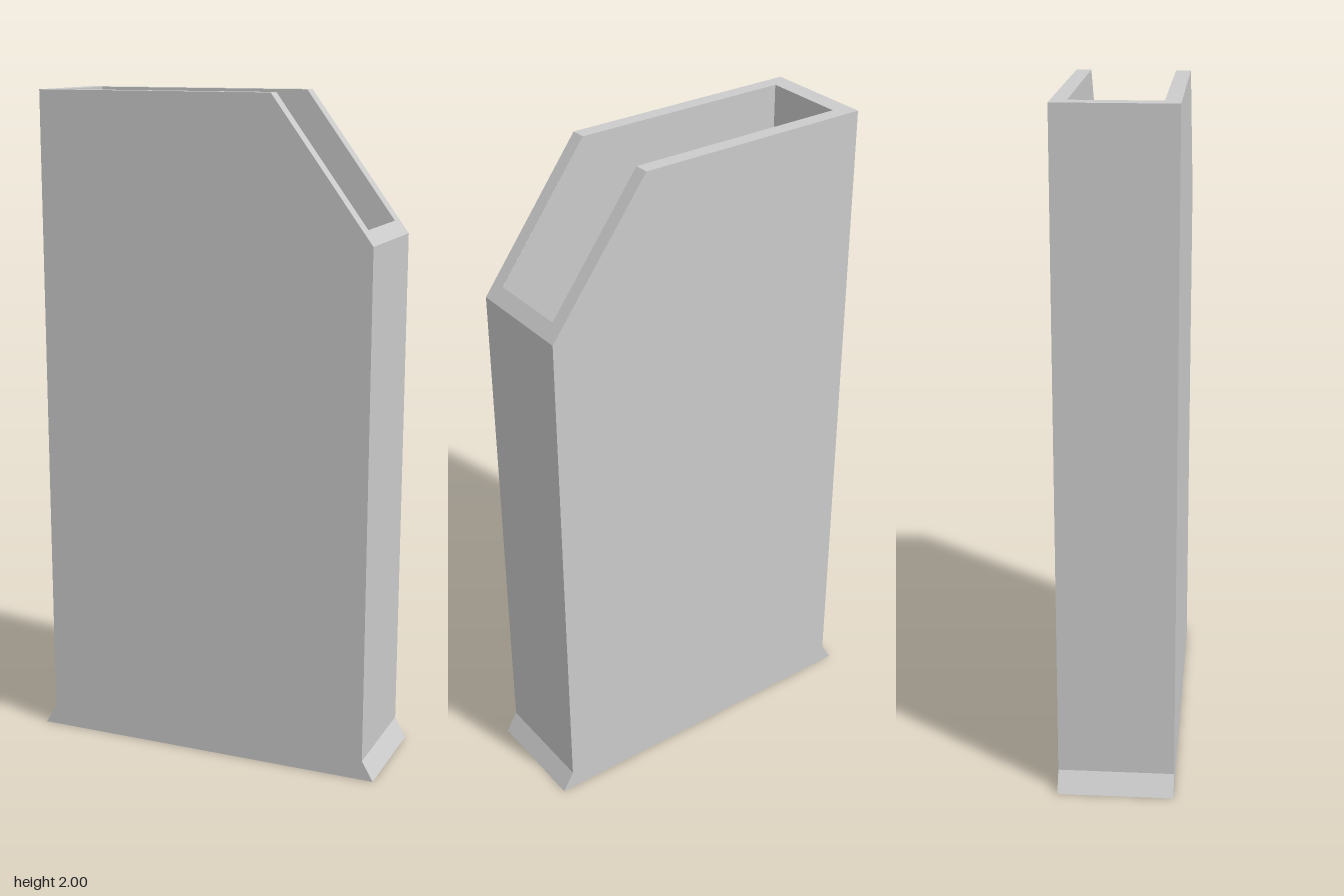
import * as THREE from 'three';

const material = new THREE.MeshStandardMaterial({ color: 0xcccccc, flatShading: true });
const OUT = 0.17, IN = 0.126; // half thickness of the body and of the pocket
const DEPTH = 1.4;            // pocket depth; its floor follows the rim

// Strip swept along z below a path (solid lies to the left of the path)
function strip(out, path, z0, z1) {
  for (let i = 0; i + 1 < path.length; i++) {
    const [a, b] = [path[i], path[i + 1]];
    out.push(...a, z0, ...b, z0, ...b, z1, ...a, z0, ...b, z1, ...a, z1);
  }
}

// Flat panel at a given z, facing +z or -z
function panel(out, outline, z, facing) {
  const pts = outline.map(p => new THREE.Vector2(...p));
  if (THREE.ShapeUtils.isClockWise(pts)) pts.reverse();
  for (const tri of THREE.ShapeUtils.triangulateShape(pts, [])) {
    if (facing < 0) tri.reverse();
    for (const i of tri) out.push(pts[i].x, pts[i].y, z);
  }
}

function part(name, positions) {
  const geo = new THREE.BufferGeometry();
  geo.setAttribute('position', new THREE.Float32BufferAttribute(positions, 3));
  geo.computeVertexNormals();
  const mesh = new THREE.Mesh(geo, material);
  mesh.name = name;
  return mesh;
}

export function createModel() {
  const group = new THREE.Group();
  group.name = 'slantedHolder';

  // Outer body with flared foot and cut corner, open at the top
  const outline = [[-0.515, 2], [-0.515, 0.06], [-0.55, 0], [0.55, 0],
    [0.515, 0.06], [0.515, 1.59], [0.21, 2]];
  const body = [];
  strip(body, outline.slice(0, 6), -OUT, OUT);
  panel(body, outline, OUT, 1);
  panel(body, outline, -OUT, -1);
  group.add(part('body', body));

  // Rim around the opening, running over the flat top and the slope
  const rim = [];
  const edge = [[0.515, 1.59], [0.21, 2], [-0.515, 2]];
  strip(rim, edge, IN, OUT);
  strip(rim, edge, -OUT, -IN);
  strip(rim, [[0.515, 1.59], [0.485, 1.63]], -IN, IN);
  strip(rim, [[-0.46, 2], [-0.515, 2]], -IN, IN);
  group.add(part('rim', rim));

  // Inside walls and floor of the pocket
  const pocket = [];
  const section = [[0.485, 1.63], [0.485, 1.63 - DEPTH], [0.21, 2 - DEPTH],
    [-0.46, 2 - DEPTH], [-0.46, 2]];
  strip(pocket, section, -IN, IN);
  const opening = [...section, [0.21, 2]];
  panel(pocket, opening, -IN, 1);
  panel(pocket, opening, IN, -1);
  group.add(part('pocket', pocket));

  return group;
}
